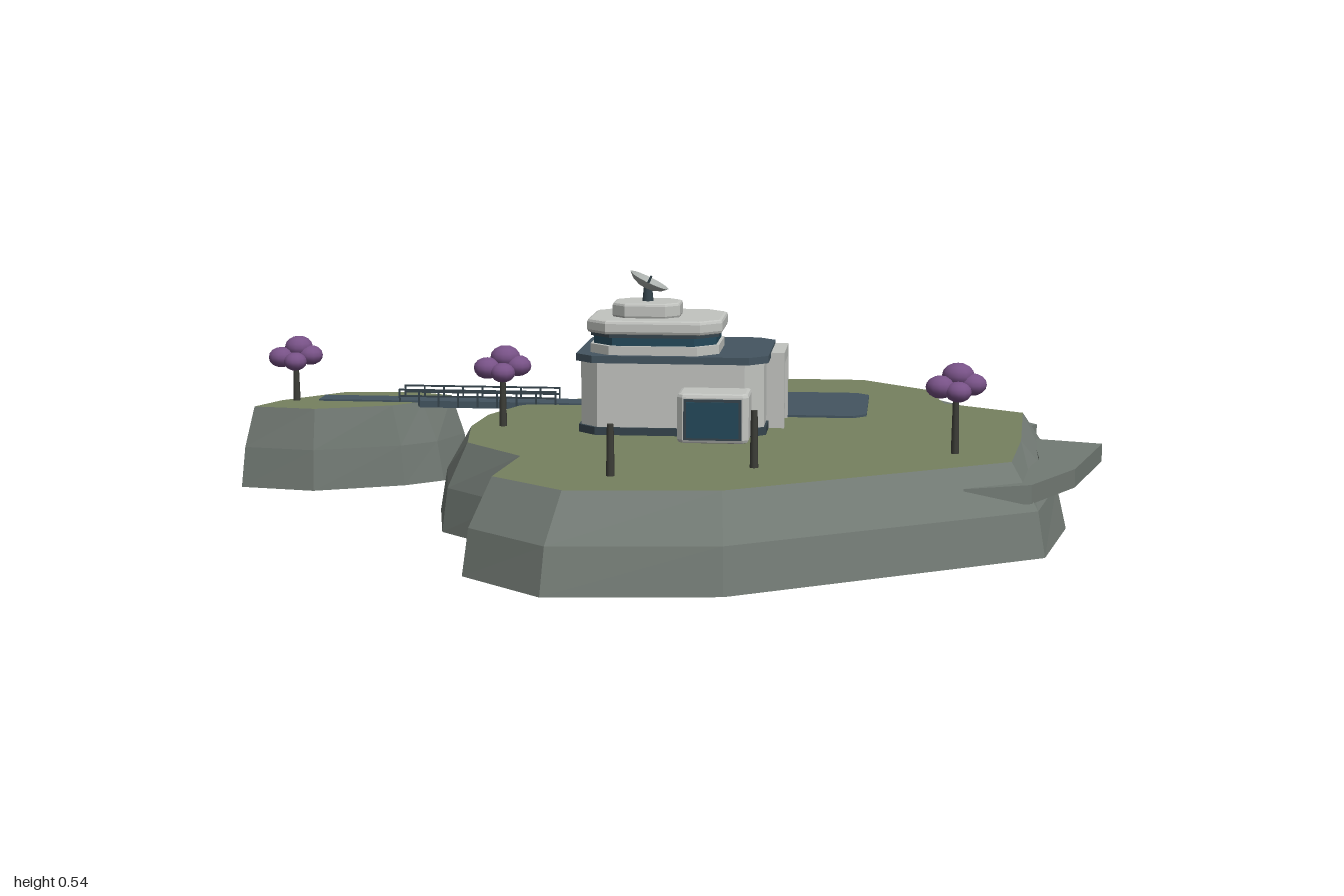
import * as THREE from 'three';

const mat = (name, color, extra = {}) => Object.assign(new THREE.MeshStandardMaterial({ color, ...extra }), { name });

export function createModel() {
  const root = new THREE.Group();
  root.name = 'islandOutpost';
  const D = { side: THREE.DoubleSide };
  const rock = mat('rock', 0x727a74, { flatShading: true, ...D });
  const grass = mat('grass', 0x76815f, D);
  const slate = mat('slate', 0x445560);
  const white = mat('wall', 0xc2c4c0);
  const trim = mat('darkTrim', 0x35444c);
  const glass = mat('glass', 0x24495a);
  const bark = mat('bark', 0x3d3e38);
  const leaf = mat('blossom', 0x785287);
  const metal = mat('dish', 0xacb1ae, D);

  const add = (name, geo, material, parent = root) => {
    const m = new THREE.Mesh(geo, material);
    m.name = name;
    parent.add(m);
    return m;
  };
  const shapeXZ = pts => new THREE.Shape(pts.map(([x, z]) => new THREE.Vector2(x, -z)));
  const box = (name, x0, x1, y0, y1, z0, z1, material, parent) =>
    add(name, new THREE.BoxGeometry(x1 - x0, y1 - y0, z1 - z0)
      .translate((x0 + x1) / 2, (y0 + y1) / 2, (z0 + z1) / 2), material, parent);
  // upright prism over a ground outline, with optional bevel
  const prism = (name, pts, y0, y1, material, parent, b = 0) =>
    add(name, new THREE.ExtrudeGeometry(shapeXZ(pts), {
      depth: y1 - y0 - 2 * b, bevelEnabled: b > 0, bevelThickness: b, bevelSize: b, bevelOffset: -b, bevelSegments: 2,
    }).rotateX(-Math.PI / 2).translate(0, y0 + b, 0), material, parent);
  const chamfered = (x0, x1, z0, z1, c) => [
    [x0 + c, z0], [x0, z0 + c], [x0, z1 - c], [x0 + c, z1],
    [x1 - c, z1], [x1, z1 - c], [x1, z0 + c], [x1 - c, z0]];

  // Open-bottomed cliff from three rings, capped with grass
  const GROUND = 0.19;
  function island(name, base, top, lean) {
    const g = new THREE.Group();
    g.name = name;
    root.add(g);
    const mid = base.map(([x, z], i) => [x + (top[i][0] - x) * lean, z + (top[i][1] - z) * lean]);
    const rings = [[base, 0], [mid, 0.095], [top, GROUND]];
    const pos = [];
    for (let r = 0; r < 2; r++) {
      const [lo, y0] = rings[r], [hi, y1] = rings[r + 1];
      lo.forEach((p, i) => {
        const j = (i + 1) % lo.length;
        const a = [p[0], y0, p[1]], b = [lo[j][0], y0, lo[j][1]];
        const c = [hi[j][0], y1, hi[j][1]], d = [hi[i][0], y1, hi[i][1]];
        pos.push(...a, ...b, ...c, ...a, ...c, ...d);
      });
    }
    const geo = new THREE.BufferGeometry();
    geo.setAttribute('position', new THREE.Float32BufferAttribute(pos, 3));
    geo.computeVertexNormals();
    add('cliff', geo, rock, g);
    add('grassTop', new THREE.ShapeGeometry(shapeXZ(top)).rotateX(-Math.PI / 2).translate(0, GROUND, 0), grass, g);
  }
  island('mainIsland',
    [[.23, -.83], [-.02, -.70], [-.09, -.52], [-.28, -.39], [-.41, -.27], [-.47, -.11], [-.48, .07], [-.43, .31], [-.27, .46],
      [-.31, .72], [-.13, .88], [.22, .84], [.85, .43], [.91, .13], [.91, -.28], [.81, -.34], [.67, -.62], [.47, -.82]],
    [[.23, -.74], [.02, -.65], [-.04, -.48], [-.24, -.35], [-.35, -.24], [-.40, -.10], [-.41, .06], [-.38, .27], [-.24, .42],
      [-.26, .65], [-.10, .78], [.21, .75], [.78, .38], [.81, .12], [.83, -.26], [.65, -.38], [.61, -.59], [.45, -.74]], 0.22);
  island('smallIsland',
    [[-.62, -.44], [-.83, -.42], [-.96, -.26], [-1, -.14], [-.82, -.11], [-.62, -.20], [-.54, -.27], [-.50, -.40]],
    [[-.63, -.42], [-.81, -.40], [-.93, -.26], [-.97, -.16], [-.82, -.14], [-.65, -.21], [-.59, -.27], [-.54, -.38]], 0.3);

  // Rock shelves jutting from the right shore
  prism('backShelf', [[.47, -.89], [.35, -.76], [.47, -.75], [.62, -.60], [.68, -.38], [.80, -.30], [.87, -.40], [.63, -.77]], .095, .14, rock);
  prism('rightShelf', [[.85, -.14], [.85, .12], [.79, .34], [.68, .48], [.82, .42], [.92, .23], [1, -.09]], .11, .15, rock);

  // Landing pad, path and bridge with railings
  prism('landingPad', chamfered(.11, .47, -.49, -.14, .03), .18, .195, slate);
  box('path', -.84, .11, .178, .194, -.33, -.262, slate);
  const bridge = new THREE.Group();
  bridge.name = 'bridgeRailings';
  root.add(bridge);
  for (const z of [-.33, -.262]) {
    for (const y of [.205, .22]) box('rail', -.645, -.265, y - .002, y + .002, z - .002, z + .002, trim, bridge);
    for (let i = 0; i <= 8; i++) {
      const x = -.643 + i * .047;
      box('railPost', x - .002, x + .002, .18, .22, z - .002, z + .002, trim, bridge);
    }
  }

  // Building: ground floor
  const house = new THREE.Group();
  house.name = 'building';
  root.add(house);
  prism('base', chamfered(-.16, .255, -.19, .145, .04), GROUND, .207, trim, house);
  prism('groundFloor', chamfered(-.155, .25, -.185, .14, .04), .207, .352, white, house);
  prism('lowerRoof', chamfered(-.165, .26, -.20, .15, .04), .35, .366, slate, house);

  // Rear windows between white piers
  for (let i = 0; i < 3; i++) {
    const x = -.025 + i * .08;
    box('rearWindowFrame', x - .005, x + .07, .205, .335, -.189, -.184, trim, house);
    box('rearWindow', x, x + .065, .21, .33, -.192, -.187, glass, house);
    box('rearPier', x + .068, x + .077, .205, .35, -.198, -.184, white, house);
  }

  // Front annex with window
  prism('frontAnnex', chamfered(.07, .225, .12, .235, .012), GROUND, .298, white, house, .008);
  box('annexWindowFrame', .085, .21, .198, .287, .233, .238, trim, house);
  box('annexWindow', .091, .204, .203, .281, .236, .241, glass, house);

  // Right-hand doorway
  box('doorPillar', .24, .29, GROUND, .36, -.15, -.127, white, house);
  box('doorPillar', .24, .29, GROUND, .36, -.008, .015, white, house);
  box('doorLintel', .24, .29, .335, .36, -.127, -.008, white, house);
  box('doorFrame', .24, .268, GROUND, .335, -.127, -.008, trim, house);
  box('door', .262, .272, GROUND, .326, -.115, -.02, glass, house);

  // Service tower with louvres on its outer faces
  prism('serviceTower', chamfered(-.157, -.045, -.225, -.12, .014), GROUND, .372, white, house, .008);
  for (let i = 0; i < 4; i++) {
    const y = .225 + i * .03;
    box('louvre', -.16, -.156, y, y + .01, -.205, -.14, trim, house);
    box('louvre', -.14, -.062, y, y + .01, -.228, -.224, trim, house);
  }

  // Upper floor with glazed band and roof
  prism('upperSill', chamfered(-.135, .15, -.105, .135, .045), .364, .386, white, house);
  prism('upperGlass', chamfered(-.128, .143, -.098, .128, .045), .386, .41, glass, house);
  prism('upperFrieze', chamfered(-.134, .149, -.104, .134, .045), .404, .412, trim, house);
  prism('upperRoof', chamfered(-.142, .157, -.11, .14, .045), .411, .442, white, house, .007);
  prism('roofHouse', chamfered(-.09, .06, -.04, .087, .03), .44, .474, white, house, .006);

  // Tilted dish on a mast
  add('dishMast', new THREE.CylinderGeometry(.009, .013, .04, 10).translate(-.015, .49, .022), trim, house);
  const profile = [[0, -.012], [.02, -.009], [.036, -.002], [.047, .008]].map(p => new THREE.Vector2(...p));
  const dish = add('dish', new THREE.LatheGeometry(profile, 20), metal, house);
  dish.position.set(-.015, .513, .022);
  dish.rotation.z = -.45;
  add('dishFeed', new THREE.CylinderGeometry(.003, .003, .03, 6).translate(0, .003, 0), trim, dish);

  // Blossom trees and bare posts
  const blobs = [[-.033, 0, .008, .031], [.004, .022, -.016, .034], [.034, .004, -.008, .03], [.004, -.008, .022, .028]];
  for (const [x, z, h] of [[-.895, -.265, .295], [-.34, .048, .322], [.665, .292, .332]]) {
    const tree = new THREE.Group();
    tree.name = 'tree';
    tree.position.set(x, 0, z);
    root.add(tree);
    add('trunk', new THREE.CylinderGeometry(.006, .009, h - GROUND, 7).translate(0, (h + GROUND) / 2, 0), bark, tree);
    for (const [bx, by, bz, r] of blobs)
      add('blossom', new THREE.SphereGeometry(r, 12, 8).scale(1, .78, 1).translate(bx, h + by, bz), leaf, tree);
  }
  for (const [x, z, h] of [[-.025, .62, .295], [.255, .50, .308]])
    add('post', new THREE.CylinderGeometry(.007, .009, h - GROUND, 7).translate(x, (h + GROUND) / 2, z), bark);

  return root;
}
